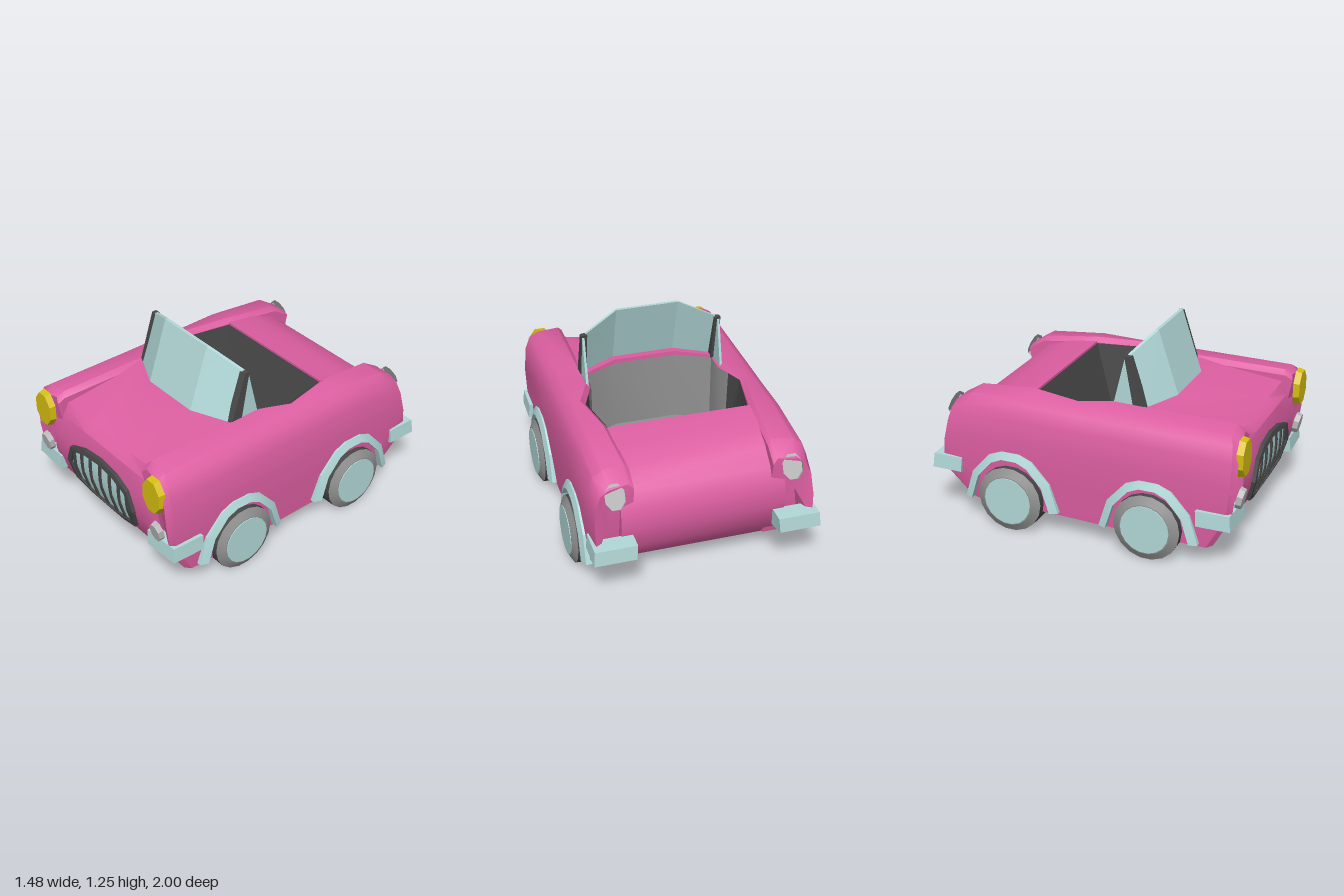
import * as THREE from 'three';
import { toCreasedNormals } from 'three/addons/utils/BufferGeometryUtils.js';

const mat = (name, color, side = THREE.FrontSide) => {
  const m = new THREE.MeshStandardMaterial({ color, side });
  m.name = name;
  return m;
};

// Piecewise linear lookup through [input, output] pairs
const curve = (pts) => (v) => {
  if (v <= pts[0][0]) return pts[0][1];
  for (let i = 1; i < pts.length; i++) {
    const [a, p] = pts[i - 1], [b, q] = pts[i];
    if (v <= b) return p + ((q - p) * (v - a)) / (b - a);
  }
  return pts[pts.length - 1][1];
};

// Closed solid through a row of equal-sized point loops, with fan caps
function loft(sections, crease = 0.6) {
  const tris = [];
  const n = sections[0].length;
  for (let i = 0; i + 1 < sections.length; i++) {
    for (let j = 0; j < n; j++) {
      const k = (j + 1) % n, A = sections[i], B = sections[i + 1];
      tris.push([A[j], A[k], B[k]], [A[j], B[k], B[j]]);
    }
  }
  const cap = (loop, flip) => {
    const c = [0, 1, 2].map((a) => loop.reduce((t, p) => t + p[a], 0) / n);
    loop.forEach((p, j) => {
      const q = loop[(j + 1) % n];
      tris.push(flip ? [c, p, q] : [c, q, p]);
    });
  };
  cap(sections[0], false);
  cap(sections[sections.length - 1], true);
  // Turn the solid outward if its volume is negative
  const vol = tris.reduce((t, [a, b, c]) => t
    + a[0] * (b[1] * c[2] - b[2] * c[1]) + a[1] * (b[2] * c[0] - b[0] * c[2])
    + a[2] * (b[0] * c[1] - b[1] * c[0]), 0);
  const pos = tris.flatMap(([a, b, c]) => (vol < 0 ? [...a, ...c, ...b] : [...a, ...b, ...c]));
  const g = new THREE.BufferGeometry();
  g.setAttribute('position', new THREE.Float32BufferAttribute(pos, 3));
  return toCreasedNormals(g, crease);
}

export function createModel() {
  const car = new THREE.Group();
  car.name = 'convertibleCar';
  const pink = mat('bodyPink', 0xdd5fa2);
  const blue = mat('paleBlueTrim', 0xb2d8d8);
  const dark = mat('darkRubber', 0x484848, THREE.DoubleSide);
  const grey = mat('midGrey', 0x909090, THREE.DoubleSide);
  const silver = mat('lampSilver', 0xbababa);
  const yellow = mat('headlampYellow', 0xd6be10);
  const add = (name, geo, m, parent = car) => {
    const mesh = new THREE.Mesh(geo, m);
    mesh.name = name;
    parent.add(mesh);
    return mesh;
  };

  // Bonnet and nose: side profile swept across x, bowed at the middle
  const noseZ = curve([[0.13, 0.83], [0.27, 0.915], [0.42, 0.96], [0.56, 0.965], [0.7, 0.935], [0.78, 0.89]]);
  const noseYs = [0.7, 0.56, 0.42, 0.27, 0.13];
  add('bonnet', loft([-0.5, -0.42, -0.2, 0.2, 0.42, 0.5].map((x) => {
    const mid = Math.abs(x) < 0.3;
    const back = mid ? 0.36 : 0.26;
    return [[x, 0.13, back], [x, mid ? 0.86 : 0.85, back], [x, mid ? 0.855 : 0.845, back + 0.1],
      [x, mid ? 0.75 : 0.78, mid ? 0.88 : 0.9], ...noseYs.map((y) => [x, y, noseZ(y)])];
  })), pink);

  // Boot lid and tail
  const tail = [[-0.385, 0.14], [-0.385, 0.845], [-0.58, 0.825], [-0.73, 0.775], [-0.83, 0.69],
    [-0.88, 0.58], [-0.89, 0.46], [-0.85, 0.3], [-0.72, 0.14]];
  add('boot', loft([-0.5, 0.5].map((x) => tail.map(([z, y]) => [x, y, z]))), pink);
  add('underbody', new THREE.BoxGeometry(1.08, 0.03, 1.1), pink).position.set(0, 0.15, 0.1);

  // Wings: a cross-section carried along z and trimmed to the end profiles
  const frontZ = curve([[0.13, 0.83], [0.27, 0.92], [0.4, 0.97], [0.7, 0.975], [0.8, 0.965], [0.86, 0.93]]);
  const rearZ = curve([[0.15, -0.74], [0.2, -0.83], [0.36, -0.95], [0.75, -0.875], [0.83, -0.78]]);
  // station z, inner x, top y, bottom y, trim at the ends, narrowing
  const stations = [[2, 0.43, 0.82, 0.14, 0, 0.025], [0.95, 0.42, 0.852, 0.13, 0.03, 0], [0.35, 0.42, 0.857, 0.13, 0.03, 0],
    [0.12, 0.42, 0.86, 0.135, 0.03, 0], [-0.07, 0.5, 0.86, 0.14, 0.03, 0], [-0.39, 0.44, 0.868, 0.145, 0.03, 0],
    [-0.77, 0.42, 0.83, 0.15, 0.03, 0], [-2, 0.42, 0.76, 0.16, 0, 0.015]];
  const wing = (s) => loft(stations.map(([z, inner, top, bot, trim, pinch]) => {
    const h = top - bot;
    return [[inner, bot], [0.66, bot], [0.675, bot + 0.3 * h], [0.68, bot + 0.58 * h], [0.667, bot + 0.8 * h],
      [0.635, bot + 0.925 * h], [0.58, bot + 0.98 * h], [inner + 0.03, top], [inner, top - 0.03]]
      .map(([x, y]) => [s * (x > 0.57 ? x - pinch : x), y,
        Math.max(rearZ(y) + trim, Math.min(frontZ(y) - trim, z))]);
  }), 0.7);

  // Cockpit tub: dark rear half with the seat back, grey front half
  const tub = (name, top, floor, m) => {
    const pos = [];
    const T = top.map(([x, z]) => [x, 0.835, z]), F = floor.map(([x, z]) => [x, 0.38, z]);
    for (let i = 0; i + 1 < T.length; i++) {
      pos.push(...T[i], ...F[i], ...F[i + 1], ...T[i], ...F[i + 1], ...T[i + 1]);
      if (i) pos.push(...F[0], ...F[i + 1], ...F[i]);
    }
    const g = new THREE.BufferGeometry();
    g.setAttribute('position', new THREE.Float32BufferAttribute(pos, 3));
    add(name, toCreasedNormals(g, 0.5), m);
  };
  const both = (half) => [...half, ...half.map(([x, z]) => [-x, z]).reverse()];
  tub('rearCockpit', both([[0.454, 0.03], [0.495, -0.07], [0.436, -0.38]]),
    both([[0.44, 0.03], [0.45, -0.07], [0.4, -0.25]]), dark);
  tub('frontCockpit', both([[0.454, 0.03], [0.416, 0.12], [0.416, 0.255], [0.2, 0.355]]),
    both([[0.44, 0.03], [0.41, 0.12], [0.41, 0.25], [0.2, 0.35]]), grey);

  // Windscreen of three panes
  add('windscreen', loft([-0.42, -0.2, 0.2, 0.42].map((x) => {
    const mid = Math.abs(x) < 0.3;
    const [b, t, h] = mid ? [0.44, 0.31, 1.25] : [0.33, 0.225, 1.16];
    return [[x, 0.82, b + 0.012], [x, h, t], [x, h, t - 0.02], [x, 0.82, b - 0.02]];
  }), 0.1), blue);

  // Grille: bent frame, backing and slats
  const bend = (geo, off = 0) => {
    const p = geo.attributes.position;
    for (let i = 0; i < p.count; i++) p.setZ(i, p.getZ(i) + noseZ(p.getY(i)) + off);
    geo.computeVertexNormals();
    return geo;
  };
  const outline = (right) => both(right).map(([x, y]) => new THREE.Vector2(x, y));
  const frame = new THREE.Shape(outline([[0, 0.625], [0.16, 0.61], [0.29, 0.565], [0.34, 0.44], [0.31, 0.3], [0.17, 0.255], [0, 0.24]]));
  frame.holes.push(new THREE.Path(outline([[0, 0.592], [0.15, 0.578], [0.265, 0.54], [0.305, 0.44], [0.28, 0.32], [0.16, 0.285], [0, 0.27]])));
  const grille = new THREE.Group();
  grille.name = 'grille';
  car.add(grille);
  add('grilleFrame', bend(new THREE.ExtrudeGeometry(frame, { depth: 0.04, bevelEnabled: false }), -0.015), dark, grille);
  const topY = curve([[0, 0.6], [0.15, 0.585], [0.28, 0.545], [0.32, 0.46]]);
  const lowY = curve([[0, 0.26], [0.16, 0.275], [0.29, 0.31], [0.32, 0.42]]);
  add('grilleBacking', loft([-0.31, -0.28, -0.15, 0, 0.15, 0.28, 0.31].map((x) => {
    const t = topY(Math.abs(x)), b = lowY(Math.abs(x));
    return [...[0, 0.25, 0.5, 0.75, 1].map((k) => {
      const y = t + (b - t) * k;
      return [x, y, noseZ(y) + 0.007];
    }), [x, b, 0.88], [x, t, 0.88]];
  })), blue, grille);
  for (const x of [-0.27, -0.19, -0.1, 0, 0.1, 0.19, 0.27]) {
    const t = topY(Math.abs(x)), b = lowY(Math.abs(x));
    const slat = new THREE.BoxGeometry(0.02, t - b, 0.02, 1, 5, 1).translate(x, (t + b) / 2, 0);
    add('grilleSlat', bend(slat, 0.007), dark, grille);
  }

  // Eight-sided lamp facing along z, tilted about x
  const lamp = (name, m, x, y, z, rx, ry, depth, tilt) => {
    const g = new THREE.CylinderGeometry(0.95, 1.03, depth, 8).rotateY(Math.PI / 8).rotateX(Math.PI / 2);
    const mesh = add(name, toCreasedNormals(g.scale(rx, ry, 1), 0.3), m);
    mesh.position.set(x, y, z);
    mesh.rotation.x = tilt;
  };

  for (const s of [1, -1]) {
    add('wing', wing(s), pink);

    // Screen post and quarter window
    const quad = (y, z0, z1) => [[0.412, z0], [0.452, z0 - 0.01], [0.452, z1], [0.412, z1]].map(([x, z]) => [s * x, y, z]);
    add('screenPost', loft([quad(0.83, 0.34, 0.255), quad(1.155, 0.235, 0.195)], 0.1), dark);
    add('quarterWindow', loft([0.43, 0.445].map((x) =>
      [[s * x, 0.83, 0.27], [s * x, 0.83, 0.12], [s * x, 1.14, 0.195], [s * x, 1.14, 0.21]]), 0.1), blue);

    // Lamps
    lamp('headlamp', yellow, s * 0.555, 0.705, 0.98, 0.088, 0.121, 0.04, 0);
    lamp('foglamp', silver, s * 0.567, 0.447, 0.975, 0.049, 0.068, 0.035, 0.2);
    lamp('tailLamp', silver, s * 0.535, 0.71, -0.9, 0.062, 0.08, -0.03, 0.42);

    // Wrap-around corner bumpers: inner x/z and outer x/z along the path
    const bumper = (path, lo, hi) => loft(path.map(([ix, iz, ox, oz]) => [[s * ix, hi, iz], [s * ox, hi, oz * 0.99],
      [s * (ox + 0.008), lo + 0.02, oz], [s * ix, lo, iz]]), 0.2);
    add('frontBumper', bumper([[0.455, 0.88, 0.455, 0.97], [0.62, 0.88, 0.695, 0.96], [0.63, 0.75, 0.7, 0.75]], 0.265, 0.38), blue);
    add('rearBumper', bumper([[0.43, -0.87, 0.43, -0.995], [0.62, -0.87, 0.685, -0.995], [0.63, -0.8, 0.685, -0.8]], 0.3, 0.412), blue);

    // Wheels with arches above
    for (const [z, lift] of [[0.445, 0], [-0.455, 0.015]]) {
      const wheel = new THREE.Group();
      wheel.name = 'wheel';
      wheel.position.set(s * 0.6, 0.21, z);
      wheel.rotation.z = -s * Math.PI / 2;
      car.add(wheel);
      const disc = (name, r1, r2, y0, y1, m) =>
        add(name, toCreasedNormals(new THREE.CylinderGeometry(r1, r2, y1 - y0, 18), 0.5).translate(0, (y0 + y1) / 2, 0), m, wheel);
      disc('tread', 0.21, 0.21, -0.12, 0.11, dark);
      disc('tyreWall', 0.16, 0.21, 0.11, 0.138, grey);
      disc('hubcap', 0.153, 0.156, 0.13, 0.142, blue);

      const half = [[0.315, 0.15, 0.265, 0.15], [0.26, 0.33, 0.215, 0.31], [0.145, 0.46, 0.12, 0.42], [0.06, 0.495, 0.05, 0.452]];
      const arc = [...half, ...half.map(([a, b, c, d]) => [-a, b, -c, d]).reverse()];
      add('wheelArch', loft(arc.map(([oz, oy, iz, iy]) => [[s * 0.62, oy + lift, z + oz], [s * 0.69, oy + lift, z + oz],
        [s * 0.71, iy + lift, z + iz], [s * 0.62, iy + lift, z + iz]]), 0.3), blue);
    }
  }
  return car;
}
